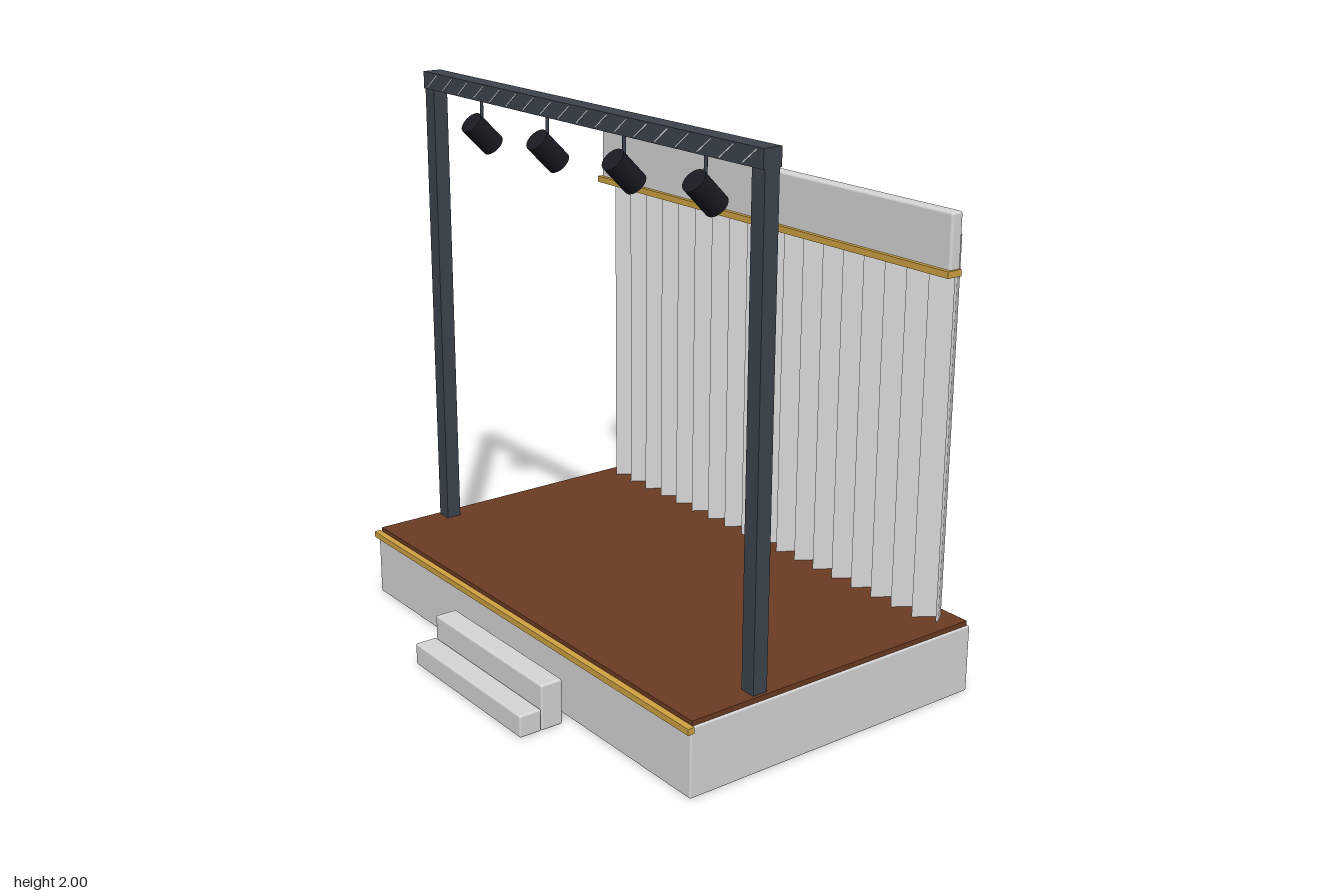
import * as THREE from 'three';
import { RoundedBoxGeometry } from 'three/addons/geometries/RoundedBoxGeometry.js';

function makeMaterial(name, color) {
  const m = new THREE.MeshStandardMaterial({ color });
  m.name = name;
  return m;
}

export function createModel() {
  const stage = new THREE.Group();
  stage.name = 'stage';
  const grey = makeMaterial('paleGrey', 0xd6d6d6);
  const brown = makeMaterial('woodBrown', 0x6b3b22);
  const gold = makeMaterial('gold', 0xd0a241);
  const steel = makeMaterial('darkSteel', 0x3c444f);
  const black = makeMaterial('lampBlack', 0x1a1b23);

  const add = (name, geometry, material, parent = stage) => {
    const mesh = new THREE.Mesh(geometry, material);
    mesh.name = name;
    parent.add(mesh);
    return mesh;
  };
  // Box given by its extents; a radius rounds the edges
  const block = (name, material, [x0, x1], [y0, y1], [z0, z1], radius = 0) => {
    const size = [x1 - x0, y1 - y0, z1 - z0];
    const geometry = radius
      ? new RoundedBoxGeometry(...size, 3, radius)
      : new THREE.BoxGeometry(...size);
    const mesh = add(name, geometry, material);
    mesh.position.set((x0 + x1) / 2, (y0 + y1) / 2, (z0 + z1) / 2);
    return mesh;
  };

  // Platform, floor, front edging and steps
  block('platform', grey, [-0.973, 0.973], [0, 0.247], [-0.715, 0.503], 0.006);
  block('floor', brown, [-0.966, 0.966], [0.245, 0.265], [-0.705, 0.493]);
  block('frontTrim', gold, [-0.979, 0.979], [0.228, 0.25], [0.494, 0.518]);
  block('lowerStep', grey, [-0.339, 0.339], [0, 0.082], [0.63, 0.715], 0.008);
  block('upperStep', grey, [-0.339, 0.339], [0, 0.167], [0.545, 0.629], 0.008);

  // Lighting frame
  for (const side of [-1, 1]) {
    const post = block('post', steel, [-0.029, 0.029], [0.265, 1.95], [0.183, 0.239]);
    post.position.x = side * 0.925;
  }
  block('topBeam', steel, [-0.954, 0.954], [1.938, 2], [0.175, 0.245]);

  // Fine diagonal braces on the front and back of the beam
  const braceGeometry = new THREE.BoxGeometry(0.082, 0.004, 0.003);
  for (const z of [0.175, 0.245]) {
    for (let i = 0; i < 18; i++) {
      const brace = add('beamBrace', braceGeometry, grey);
      brace.position.set(-0.893 + i * 0.105, 1.969, z);
      brace.rotation.z = 0.65;
    }
  }

  // Spotlights aimed down towards the curtain
  const canGeometry = new THREE.CylinderGeometry(0.043, 0.043, 0.127, 24);
  const lensGeometry = new THREE.CylinderGeometry(0.035, 0.035, 0.006, 24);
  const rodGeometry = new THREE.CylinderGeometry(0.006, 0.006, 0.12, 10);
  for (const x of [-0.636, -0.22, 0.217, 0.633]) {
    const spotlight = new THREE.Group();
    spotlight.name = 'spotlight';
    spotlight.position.set(x, 1.81, 0.198);
    stage.add(spotlight);
    add('hangerRod', rodGeometry, steel, spotlight).position.y = 0.085;
    const head = new THREE.Group();
    head.name = 'lampHead';
    head.rotation.x = Math.PI / 4;
    spotlight.add(head);
    add('lampBody', canGeometry, black, head);
    add('lampLens', lensGeometry, grey, head).position.y = -0.065;
  }

  // Pleated curtain: a zigzag strip extruded upwards
  const period = 0.1016, left = -0.908, right = 0.908, thickness = 0.012;
  const pleatZ = (x) => {
    const t = (((x + 0.845) / period) % 1 + 1) % 1;
    return -0.659 + 0.078 * (1 - Math.abs(2 * t - 1));
  };
  const xs = [left];
  for (let i = -1; i < 40; i++) {
    const x = -0.845 + (i * period) / 2;
    if (x > left && x < right) xs.push(x);
  }
  xs.push(right);
  const frontEdge = xs.map((x) => new THREE.Vector2(x, -pleatZ(x) - thickness / 2));
  const backEdge = xs.map((x) => new THREE.Vector2(x, -pleatZ(x) + thickness / 2)).reverse();
  const curtainGeometry = new THREE.ExtrudeGeometry(
    new THREE.Shape([...frontEdge, ...backEdge]),
    { depth: 1.345, bevelEnabled: false },
  );
  curtainGeometry.rotateX(-Math.PI / 2);
  add('curtain', curtainGeometry, grey).position.y = 0.265;

  // Valance over the curtain with its lower trim
  block('valance', grey, [-0.948, 0.948], [1.512, 1.708], [-0.596, -0.548], 0.01);
  block('valanceTrim', gold, [-0.956, 0.956], [1.497, 1.52], [-0.592, -0.532]);

  return stage;
}
